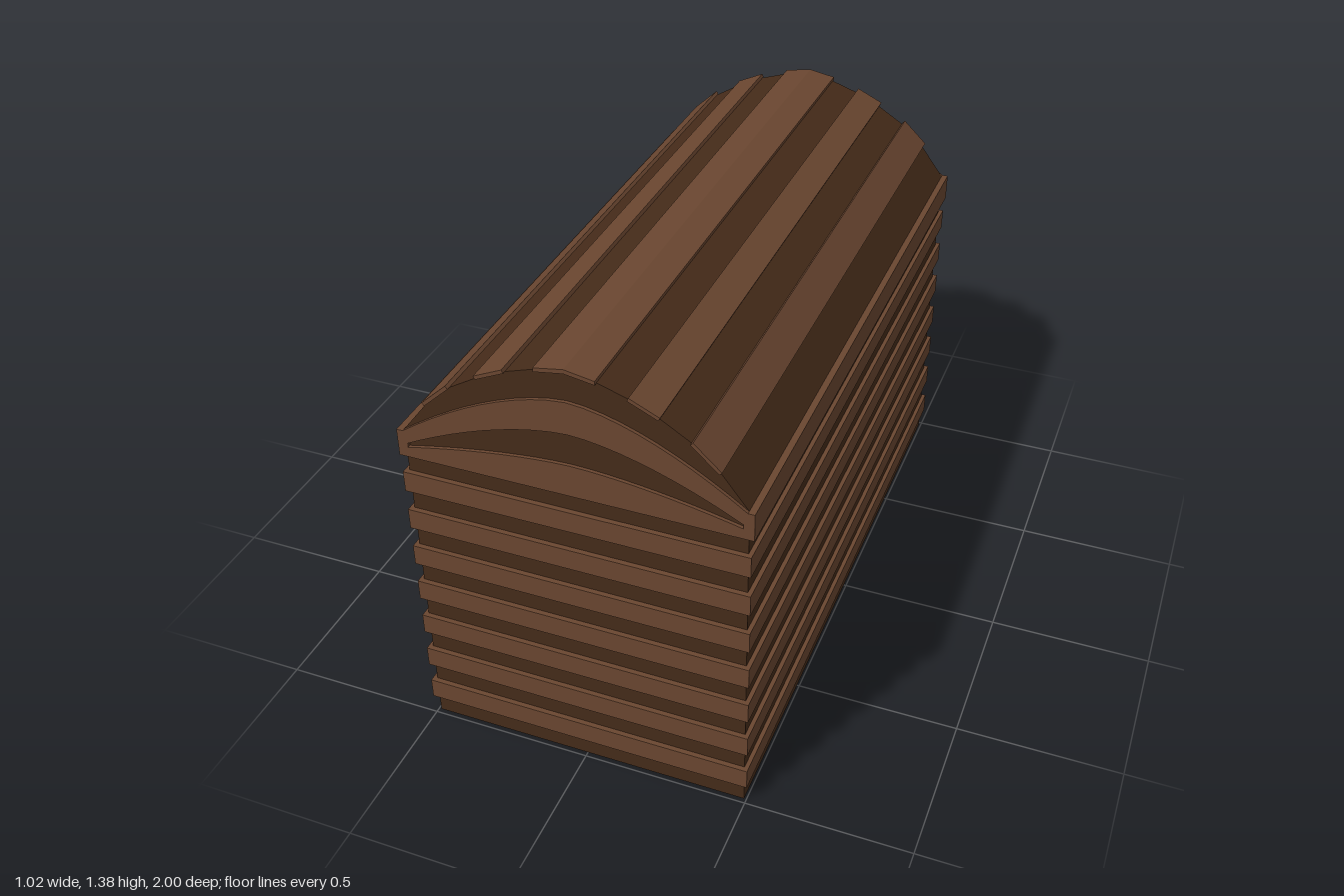
import * as THREE from 'three';

const light = new THREE.MeshStandardMaterial({ color: 0x6a4630, flatShading: true });
const dark = new THREE.MeshStandardMaterial({ color: 0x452b19, flatShading: true });

export function createModel() {
  const chest = new THREE.Group();
  chest.name = 'chest';

  function add(name, geometry, material, x = 0, y = 0, z = 0) {
    const mesh = new THREE.Mesh(geometry, material);
    mesh.name = name;
    mesh.position.set(x, y, z);
    chest.add(mesh);
    return mesh;
  }
  // Box given by its height range, centred in depth unless z is given
  function box(name, material, w, y0, y1, d, x = 0, z = 0) {
    return add(name, new THREE.BoxGeometry(w, y1 - y0, d), material, x, (y0 + y1) / 2, z);
  }
  // Outline in x and y, extruded along z between z0 and z1
  function prism(name, material, points, z0, z1) {
    const shape = new THREE.Shape(points.map(([x, y]) => new THREE.Vector2(x, y)));
    const geometry = new THREE.ExtrudeGeometry(shape, { depth: z1 - z0, bevelEnabled: false });
    return add(name, geometry, material, 0, 0, z0);
  }

  // Body with raised horizontal planks all round
  box('body', dark, 0.985, 0, 0.985, 1.97);
  const step = 0.1316;
  for (let i = 0; i < 7; i++) {
    const y = 0.066 + i * step;
    box('bodyPlank', light, 1.01, y, y + 0.066, 2);
  }

  // Lock plate and keyhole between the two top planks
  box('lockPlate', light, 0.02, 0.79, 0.856, 0.32, -0.494);
  box('keyhole', dark, 0.004, 0.797, 0.85, 0.022, -0.505);

  // Arched lid
  const half = [[0.492, 1.06], [0.415, 1.16], [0.338, 1.232], [0.254, 1.283],
    [0.17, 1.322], [0.085, 1.35], [0, 1.364]];
  const mirrored = half.slice(0, -1).reverse().map(([x, y]) => [-x, y]);
  prism('lid', dark, [[-0.492, 0.975], [0.492, 0.975], ...half, ...mirrored], -0.985, 0.985);

  // Raised planks along the lid, each lifted off the arch along its normal
  for (const i of [1, 3]) {
    const [a, b] = [half[i], half[i + 1]];
    const length = Math.hypot(b[0] - a[0], b[1] - a[1]);
    const nx = (b[1] - a[1]) / length * 0.011, ny = (a[0] - b[0]) / length * 0.011;
    const quad = [a, [a[0] + nx, a[1] + ny], [b[0] + nx, b[1] + ny], b];
    for (const side of [-1, 1]) {
      prism('lidPlank', light, quad.map(([x, y]) => [side * x, y]), -0.995, 0.995);
    }
  }
  prism('lidTopPlank', light, [[-0.085, 1.348], [0, 1.362], [0.085, 1.348],
    [0.085, 1.36], [0, 1.375], [-0.085, 1.36]], -0.995, 0.995);

  // Rim rails along both sides
  for (const side of [-1, 1]) {
    box('lidRim', light, 0.03, 0.975, 1.06, 1.99, side * 0.496);
  }

  // Curved boards on the lid ends
  function arc(top, end) {
    const points = [];
    for (let i = -10; i <= 10; i++) {
      const t = i / 10;
      points.push([t * 0.492, top - (top - end) * Math.abs(t) ** 1.65]);
    }
    return points;
  }
  const upperBoard = [...arc(1.175, 1.015), ...arc(1.275, 1.06).reverse()];
  const lowerBoard = [[-0.492, 0.975], [0.492, 0.975], ...arc(1.075, 1.005).reverse()];
  for (const z of [-0.995, 0.98]) {
    prism('lidEndUpperBoard', light, upperBoard, z, z + 0.015);
    prism('lidEndLowerBoard', light, lowerBoard, z, z + 0.015);
  }

  return chest;
}
